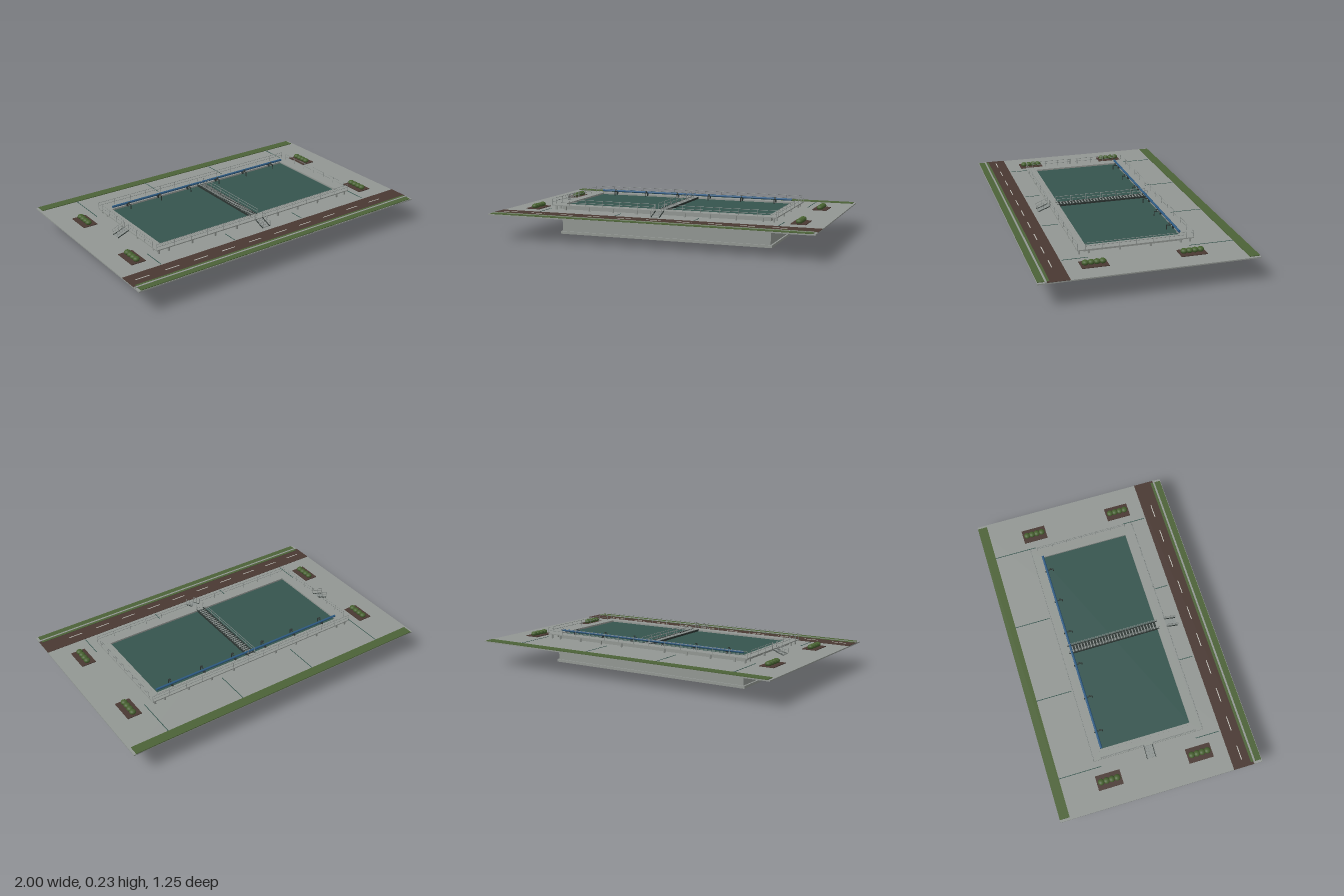
import * as THREE from 'three';

const mat = (name, color, extra = {}) => {
  const m = new THREE.MeshStandardMaterial({ color, ...extra });
  m.name = name;
  return m;
};

export function createModel() {
  const root = new THREE.Group();
  root.name = 'waterTreatmentBasin';
  const concrete = mat('concrete', 0x929793);
  const water = mat('water', 0x35544e);
  const grass = mat('grass', 0x4c6237);
  const asphalt = mat('brownRoad', 0x493832);
  const paint = mat('roadPaint', 0xc4c4bc);
  const steel = mat('railSteel', 0x8c9290);
  const dark = mat('darkSteel', 0x2c3532);
  const blue = mat('bluePipe', 0x2d5a82);
  const leaf = mat('leaf', 0x46602f);

  const group = (name, parent = root) => {
    const g = new THREE.Group();
    g.name = name;
    parent.add(g);
    return g;
  };
  // Box given by its extents on each axis
  const box = (name, m, x0, x1, y0, y1, z0, z1, parent = root) => {
    const mesh = new THREE.Mesh(new THREE.BoxGeometry(x1 - x0, y1 - y0, z1 - z0), m);
    mesh.position.set((x0 + x1) / 2, (y0 + y1) / 2, (z0 + z1) / 2);
    mesh.name = name;
    parent.add(mesh);
    return mesh;
  };
  // Round bar between two points
  const up = new THREE.Vector3(0, 1, 0);
  const bar = (name, m, a, b, r, parent, sides = 6) => {
    const p = new THREE.Vector3(...a), q = new THREE.Vector3(...b);
    const d = q.clone().sub(p);
    const mesh = new THREE.Mesh(new THREE.CylinderGeometry(r, r, d.length(), sides), m);
    mesh.position.copy(p).add(q).multiplyScalar(0.5);
    mesh.quaternion.setFromUnitVectors(up, d.normalize());
    mesh.name = name;
    parent.add(mesh);
  };
  // Flat rectangular ring, extruded upward
  const ring = (name, m, ox, oz, ix, iz, y0, y1) => {
    const rect = (C, x, z) => {
      const s = new C();
      s.moveTo(-x, -z); s.lineTo(x, -z); s.lineTo(x, z); s.lineTo(-x, z); s.closePath();
      return s;
    };
    const shape = rect(THREE.Shape, ox, oz);
    shape.holes.push(rect(THREE.Path, ix, iz));
    const geo = new THREE.ExtrudeGeometry(shape, { depth: y1 - y0, bevelEnabled: false });
    geo.rotateX(-Math.PI / 2);
    const mesh = new THREE.Mesh(geo, m);
    mesh.position.y = y0;
    mesh.name = name;
    root.add(mesh);
  };
  // Railing: posts, top rail and middle rail along a straight run
  const GROUND = 0.155, DECK = 0.187, TOP = 0.224;
  const railing = (name, ax, az, bx, bz, count) => {
    const g = group(name);
    for (let i = 0; i <= count; i++) {
      const x = ax + (bx - ax) * i / count, z = az + (bz - az) * i / count;
      bar('railPost', steel, [x, DECK, z], [x, TOP, z], 0.0014, g);
    }
    for (const y of [0.206, TOP]) bar('rail', steel, [ax, y, az], [bx, y, bz], 0.0014, g);
  };

  // Ground slab, sunken basin and footing
  box('groundSlab', concrete, -1, 1, 0.148, GROUND, -0.625, 0.625);
  box('basinFooting', concrete, -0.68, 0.68, 0, 0.016, -0.302, 0.302);
  box('basinBody', concrete, -0.67, 0.67, 0.016, 0.149, -0.293, 0.293);
  ring('basinWall', concrete, 0.67, 0.293, 0.655, 0.28, 0.149, 0.188);
  box('waterSurface', water, -0.655, 0.655, 0.155, 0.178, -0.28, 0.28);

  // Raised walkway on columns
  ring('walkway', concrete, 0.716, 0.34, 0.669, 0.292, 0.181, DECK);
  const columns = group('walkwayColumns');
  const column = (x, z) =>
    box('column', concrete, x - 0.005, x + 0.005, GROUND, 0.181, z - 0.005, z + 0.005, columns);
  for (const s of [-1, 1]) {
    for (const x of [0.155, 0.31, 0.47, 0.63, 0.695])
      for (const t of [-1, 1]) column(t * x, s * 0.325);
    for (const z of [-0.27, -0.09, 0.09, 0.27]) column(s * 0.695, z);
  }

  // Walkway railings, with gaps at the two stairs
  railing('backRailing', -0.714, -0.338, 0.714, -0.338, 13);
  railing('frontRailingRight', -0.714, 0.338, -0.03, 0.338, 6);
  railing('frontRailingLeft', 0.03, 0.338, 0.714, 0.338, 6);
  railing('leftRailing', 0.714, -0.293, 0.714, 0.293, 6);
  railing('rightRailingBack', -0.714, -0.293, -0.714, -0.028, 3);
  railing('rightRailingFront', -0.714, 0.028, -0.714, 0.293, 3);

  // Footbridge across the basin
  const bridge = group('footbridge');
  box('bridgeDeck', dark, -0.022, 0.022, 0.18, 0.184, -0.292, 0.292, bridge);
  for (const s of [-1, 1])
    box('bridgeBeam', dark, s * 0.024 - 0.003, s * 0.024 + 0.003, 0.178, 0.189, -0.292, 0.292, bridge);
  for (let i = 0; i < 30; i++) {
    const z = -0.282 + i * 0.0194;
    box('gratingBar', steel, -0.021, 0.021, 0.184, 0.187, z - 0.003, z + 0.003, bridge);
  }
  railing('bridgeRailingRight', -0.023, -0.29, -0.023, 0.29, 6);
  railing('bridgeRailingLeft', 0.023, -0.29, 0.023, 0.29, 6);

  // Stairs, built running out along +z from the walkway edge
  const stair = (name, edge, angle) => {
    const g = group(name);
    for (let i = 0; i < 4; i++) {
      const y = DECK - 0.007 * (i + 1), z = edge + 0.008 + i * 0.018;
      box('stairTread', steel, -0.024, 0.024, y - 0.003, y, z - 0.008, z + 0.008, g);
    }
    for (const x of [-0.026, 0.026]) {
      bar('stairStringer', dark, [x, 0.184, edge], [x, 0.157, edge + 0.072], 0.003, g);
      for (const h of [0.02, 0.037])
        bar('stairRail', steel, [x, 0.187 + h, edge], [x, 0.157 + h, edge + 0.075], 0.0014, g);
      for (const t of [0, 0.5, 1]) {
        const y = DECK - 0.03 * t, z = edge + 0.075 * t;
        bar('stairPost', steel, [x, y, z], [x, y + 0.037, z], 0.0014, g);
      }
    }
    g.rotation.y = angle;
  };
  stair('frontStair', 0.34, 0);
  stair('rightStair', 0.716, -Math.PI / 2);

  // Supply pipe along the back wall, with valved outlets
  const pipes = group('supplyPipe');
  bar('mainPipe', blue, [-0.655, 0.205, -0.274], [0.655, 0.205, -0.274], 0.007, pipes, 12);
  for (const x of [-0.55, -0.33, -0.11, 0.11, 0.33, 0.55]) {
    bar('outlet', dark, [x, 0.205, -0.274], [x, 0.205, -0.232], 0.003, pipes, 8);
    bar('outletDrop', dark, [x, 0.206, -0.234], [x, 0.178, -0.234], 0.003, pipes, 8);
    bar('valveStem', dark, [x, 0.205, -0.25], [x, 0.216, -0.25], 0.0018, pipes);
    bar('valveWheel', dark, [x, 0.215, -0.25], [x, 0.217, -0.25], 0.007, pipes, 10);
    box('pipeBracket', dark, x - 0.003, x + 0.003, 0.182, 0.2, -0.286, -0.268, pipes);
  }

  // Road, dashes, kerb and grass verges
  box('road', asphalt, -1, 1, GROUND, 0.157, 0.447, 0.575);
  for (let i = 0; i < 10; i++) {
    const x = -0.955 + i * 0.188;
    box('laneDash', paint, x, x + 0.09, 0.157, 0.1585, 0.507, 0.512);
  }
  box('backVerge', grass, -0.985, 0.985, GROUND, 0.159, -0.625, -0.565);
  box('roadVerge', grass, -0.985, 0.985, GROUND, 0.159, 0.557, 0.573);
  box('kerb', concrete, -1, 1, GROUND, 0.16, 0.573, 0.584);
  box('frontVerge', grass, -0.985, 0.985, GROUND, 0.159, 0.584, 0.622);

  // Joint lines in the paving
  for (const x of [-0.75, -0.25, 0.25, 0.75]) {
    const outer = Math.abs(x) > 0.5;
    box('backJoint', water, x - 0.002, x + 0.002, GROUND, 0.1565, -0.565, outer ? -0.3 : -0.345);
    box('frontJoint', water, x - 0.002, x + 0.002, GROUND, 0.1565, outer ? 0.29 : 0.342, 0.437);
  }

  // Planting beds with four round shrubs each
  for (const sx of [-1, 1]) for (const sz of [-1, 1]) {
    const g = group('plantingBed');
    box('soil', asphalt, -0.045, 0.045, GROUND, 0.159, -0.076, 0.076, g);
    for (let i = 0; i < 4; i++) {
      const shrub = new THREE.Mesh(new THREE.SphereGeometry(0.02, 14, 10), leaf);
      shrub.scale.y = 0.75;
      shrub.position.set(0, 0.17, -0.049 + i * 0.0325);
      shrub.name = 'shrub';
      g.add(shrub);
    }
    g.position.set(sx * 0.843, 0, sz * 0.281);
  }
  return root;
}
